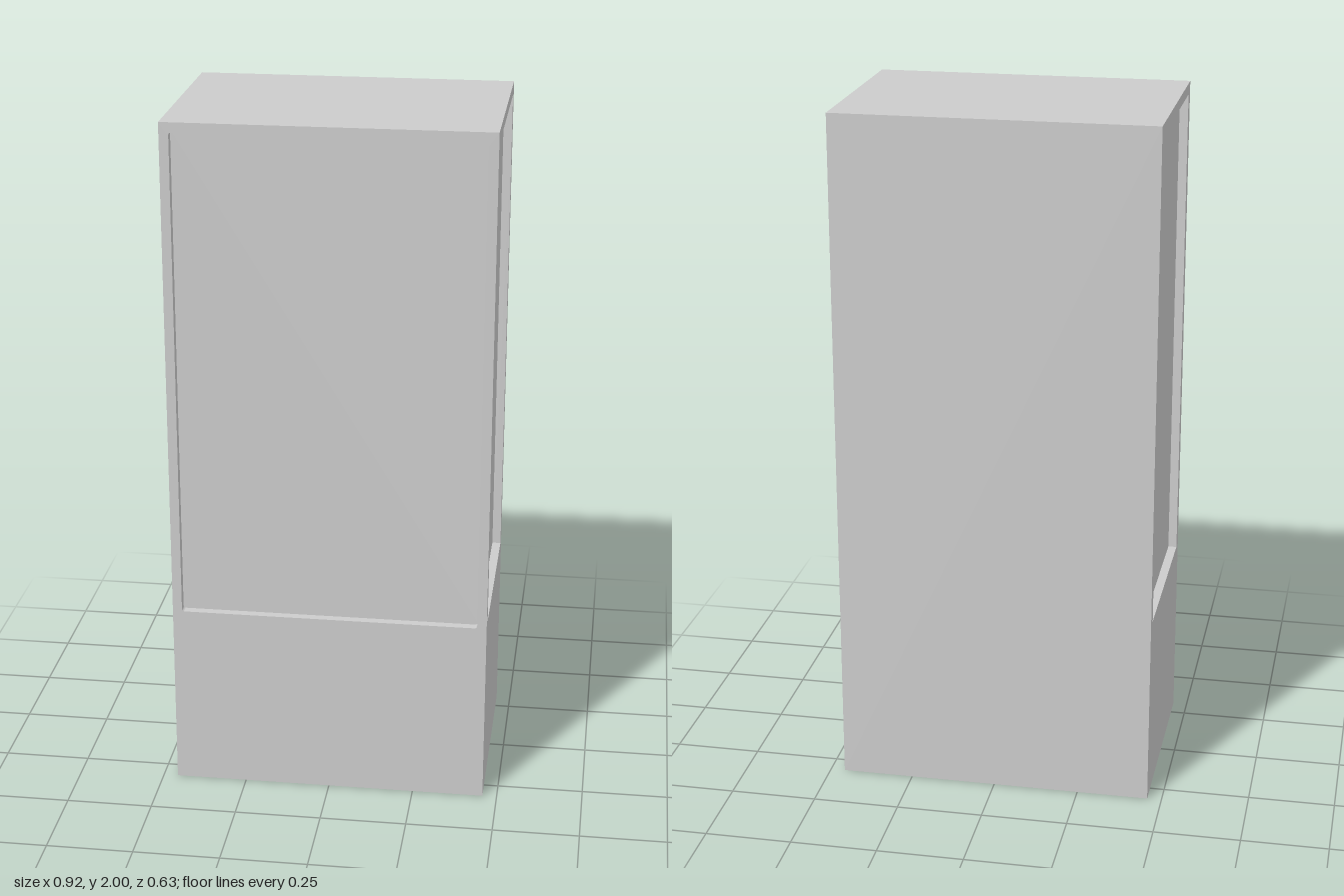
import * as THREE from 'three';
import { mergeGeometries } from 'three/addons/utils/BufferGeometryUtils.js';

const W = 0.916, H = 2, D = 0.626, RECESS = 0.025;
const material = new THREE.MeshStandardMaterial({ color: 0xcccccc });

// Counter-clockwise rectangle, optionally with rounded corners
function rectangle(ShapeType, halfWidth, bottom, top, r = 0) {
  const s = new ShapeType();
  if (r === 0) {
    s.moveTo(-halfWidth, bottom).lineTo(halfWidth, bottom).lineTo(halfWidth, top).lineTo(-halfWidth, top);
  } else {
    s.moveTo(-halfWidth + r, bottom).lineTo(halfWidth - r, bottom);
    s.absarc(halfWidth - r, bottom + r, r, -Math.PI / 2, 0);
    s.absarc(halfWidth - r, top - r, r, 0, Math.PI / 2);
    s.absarc(-halfWidth + r, top - r, r, Math.PI / 2, Math.PI);
    s.absarc(-halfWidth + r, bottom + r, r, Math.PI, Math.PI * 1.5);
  }
  s.closePath();
  return s;
}

// Inward-facing walls that run along the outline from the face to the recess floor
function recessWalls(points) {
  const pos = [];
  for (let i = 0; i < points.length; i++) {
    const p = points[i], q = points[(i + 1) % points.length];
    if (p.distanceTo(q) < 1e-6) continue;
    pos.push(p.x, p.y, 0, q.x, q.y, 0, p.x, p.y, -RECESS);
    pos.push(q.x, q.y, 0, q.x, q.y, -RECESS, p.x, p.y, -RECESS);
  }
  const g = new THREE.BufferGeometry();
  g.setAttribute('position', new THREE.Float32BufferAttribute(pos, 3));
  g.computeVertexNormals();
  return g;
}

// Cabinet side with a sunken panel, facing +z
function recessedSide(name, width, halfWidth, bottom, top, radius) {
  const outline = rectangle(THREE.Shape, width / 2, 0, H);
  outline.holes.push(rectangle(THREE.Path, halfWidth, bottom, top, radius));
  const panel = rectangle(THREE.Shape, halfWidth, bottom, top, radius);
  const flat = (shape) => {
    const g = new THREE.ShapeGeometry(shape, 4).toNonIndexed();
    g.deleteAttribute('uv');
    return g;
  };
  const frame = mergeGeometries([flat(outline), recessWalls(panel.getPoints(4))]);
  const group = new THREE.Group();
  group.name = name;
  const frameMesh = new THREE.Mesh(frame, material);
  frameMesh.name = name + 'Frame';
  const panelMesh = new THREE.Mesh(flat(panel), material);
  panelMesh.name = name + 'Panel';
  panelMesh.position.z = -RECESS;
  group.add(frameMesh, panelMesh);
  return group;
}

function plainSide(name, width, height) {
  const mesh = new THREE.Mesh(new THREE.PlaneGeometry(width, height), material);
  mesh.name = name;
  return mesh;
}

export function createModel() {
  const model = new THREE.Group();
  model.name = 'cabinet';

  // Front with its large sunken panel
  const front = recessedSide('front', W, 0.431, 0.548, 1.972, 0.008);
  front.position.z = D / 2;
  model.add(front);

  // Left and right sides with narrower sunken panels
  for (const [name, side] of [['leftSide', 1], ['rightSide', -1]]) {
    const part = recessedSide(name, D, 0.278, 0.555, 1.968, 0);
    part.rotation.y = side * Math.PI / 2;
    part.position.x = side * W / 2;
    model.add(part);
  }

  // Plain back, top and bottom
  const back = plainSide('back', W, H);
  back.rotation.y = Math.PI;
  back.position.set(0, H / 2, -D / 2);
  const top = plainSide('top', W, D);
  top.rotation.x = -Math.PI / 2;
  top.position.y = H;
  const bottom = plainSide('bottom', W, D);
  bottom.rotation.x = Math.PI / 2;
  model.add(back, top, bottom);

  return model;
}
